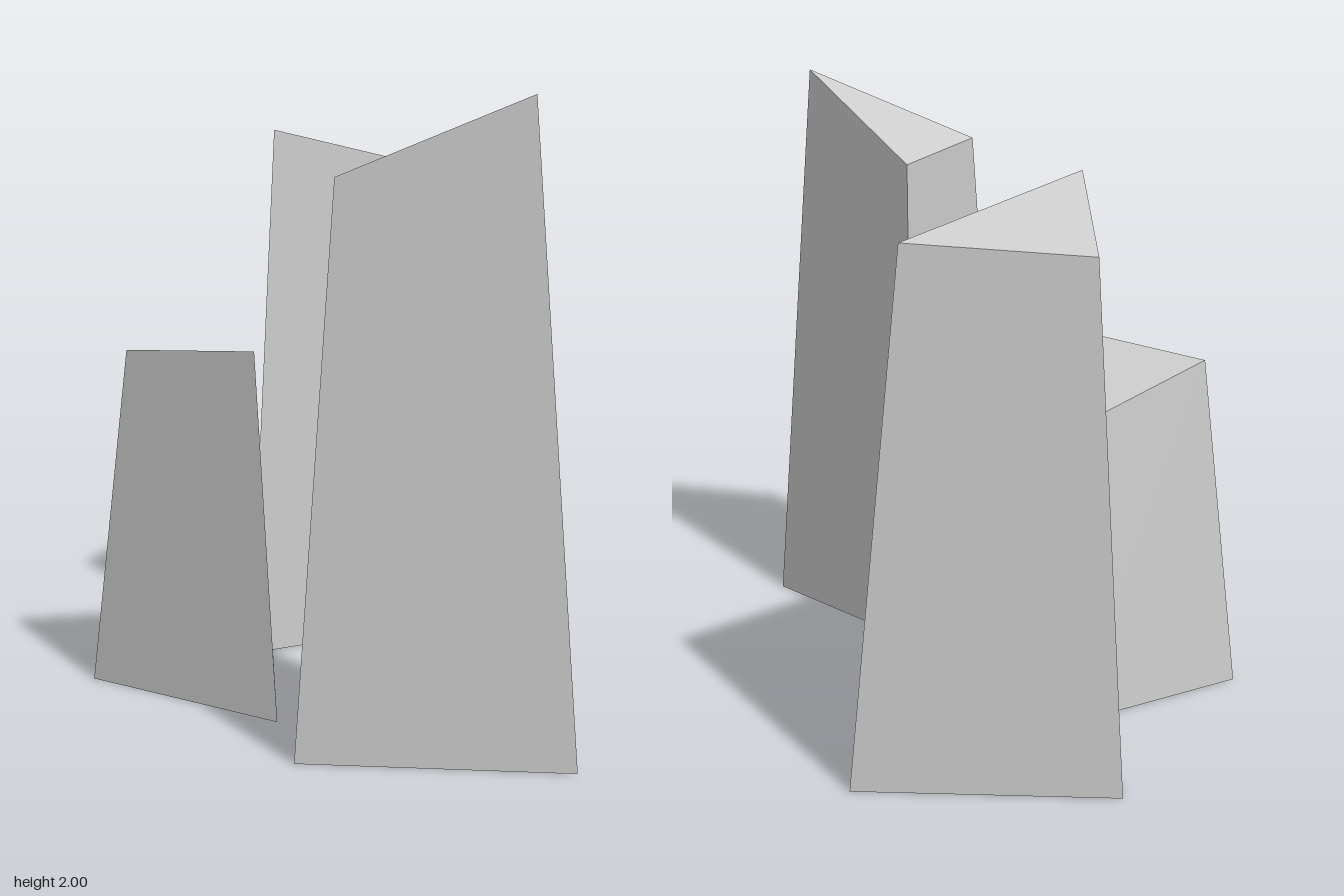
import * as THREE from 'three';

// Tapered three-sided shard: each corner is [baseX, baseZ, topX, topY, topZ],
// listed counter-clockwise as seen from above.
function shard(name, corners, material) {
  const base = corners.map(([x, z]) => [x, 0, z]);
  const top = corners.map(([, , x, y, z]) => [x, y, z]);
  const points = [...top, base[2], base[1], base[0]]; // slanted cap and underside

  // side walls, two triangles each
  for (let i = 0; i < 3; i++) {
    const j = (i + 1) % 3;
    points.push(base[i], base[j], top[j], base[i], top[j], top[i]);
  }

  const geometry = new THREE.BufferGeometry();
  geometry.setAttribute('position', new THREE.Float32BufferAttribute(points.flat(), 3));
  geometry.computeVertexNormals();
  const mesh = new THREE.Mesh(geometry, material);
  mesh.name = name;
  return mesh;
}

export function createModel() {
  const group = new THREE.Group();
  group.name = 'stoneShards';
  const stone = new THREE.MeshStandardMaterial({ color: 0xcccccc, flatShading: true });

  group.add(
    shard('tallShard', [
      [0.935, 0.525, 0.785, 2.0, 0.54],
      [0.22, 0.27, 0.29, 1.72, 0.36],
      [0.16, 0.88, 0.25, 1.76, 0.78],
    ], stone),
    shard('backShard', [
      [-0.18, -0.88, -0.295, 1.705, -0.765],
      [-0.94, -0.53, -0.82, 1.67, -0.525],
      [-0.635, -0.04, -0.612, 1.855, -0.185],
    ], stone),
    shard('shortShard', [
      [-0.58, -0.1, -0.56, 1.005, 0.035],
      [-0.92, 0.49, -0.795, 1.14, 0.435],
      [-0.11, 0.57, -0.24, 1.18, 0.49],
    ], stone),
  );
  return group;
}
